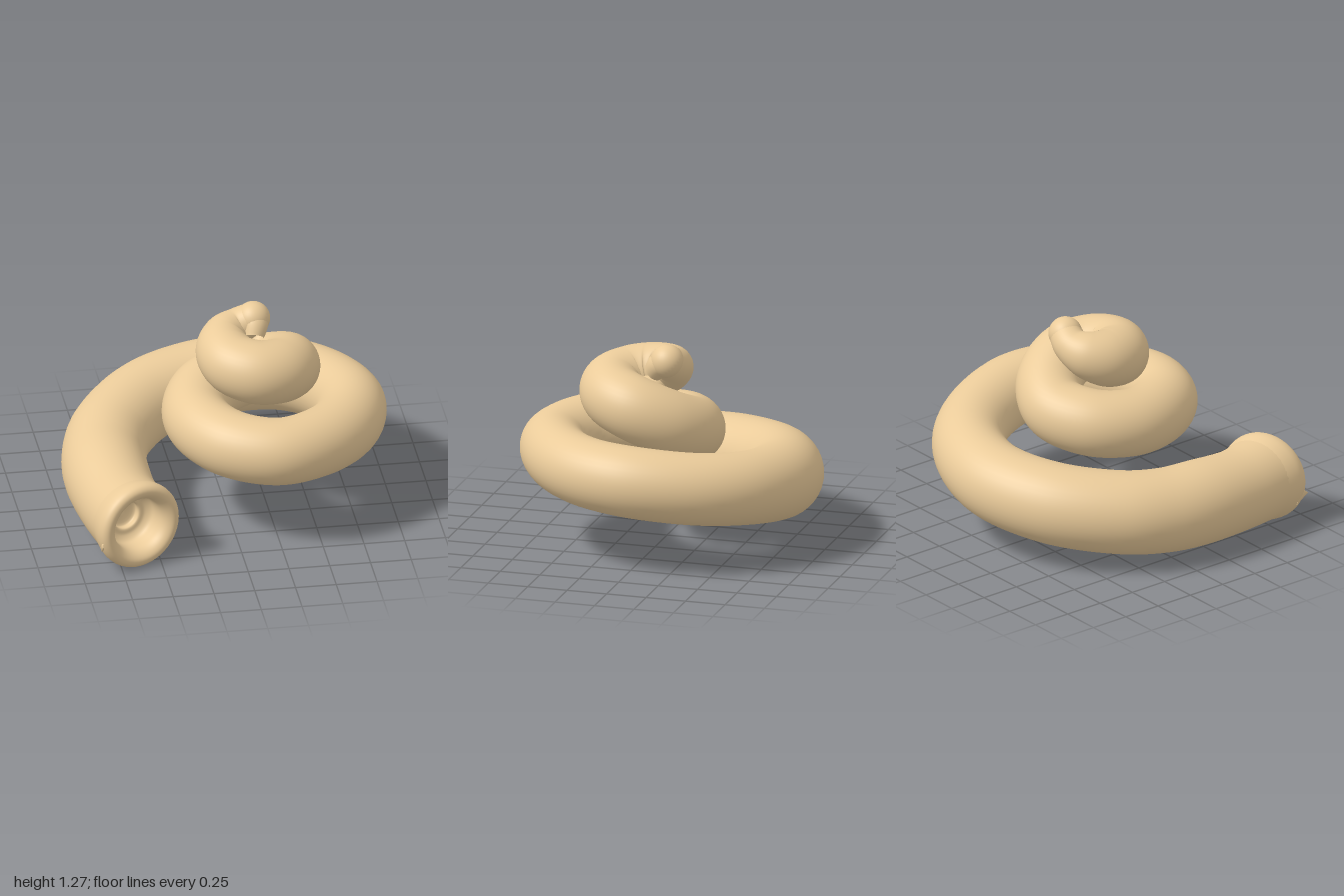
import * as THREE from 'three';

// Centreline of the coil, from the mouth up to the tip: [x, y, z, radius]
const PATH = [
  [-0.65, 0.28, 0.79, 0.26], [-0.71, 0.285, 0.55, 0.25], [-0.74, 0.305, 0.22, 0.26],
  [-0.72, 0.317, -0.03, 0.258], [-0.63, 0.345, -0.29, 0.255], [-0.35, 0.395, -0.60, 0.25],
  [0.05, 0.44, -0.73, 0.24], [0.42, 0.488, -0.63, 0.225], [0.66, 0.528, -0.38, 0.22],
  [0.78, 0.575, 0, 0.218], [0.71, 0.592, 0.30, 0.212], [0.52, 0.605, 0.52, 0.208],
  [0.25, 0.615, 0.63, 0.205], [0.0, 0.63, 0.54, 0.205], [-0.15, 0.645, 0.34, 0.205],
  [-0.185, 0.66, 0.13, 0.205], [-0.09, 0.69, -0.09, 0.205], [0.13, 0.735, -0.19, 0.202],
  [0.31, 0.82, -0.10, 0.202], [0.385, 0.915, 0.09, 0.20], [0.31, 0.96, 0.24, 0.197],
  [0.17, 0.985, 0.285, 0.195], [0.04, 1.01, 0.21, 0.187], [0.0, 1.042, 0.08, 0.175],
  [0.04, 1.085, -0.03, 0.147], [0.12, 1.125, -0.075, 0.114], [0.20, 1.17, -0.065, 0.10],
];

// Round tube whose radius follows the path
function taperedTube(path, steps, sides) {
  const curve = new THREE.CatmullRomCurve3(path.map(([x, y, z]) => new THREE.Vector3(x, y, z)));
  const radii = new THREE.CatmullRomCurve3(path.map((p, i) => new THREE.Vector3(p[3], i, 0)));
  const up = new THREE.Vector3(0, 1, 0);
  const position = [], index = [];
  for (let i = 0; i <= steps; i++) {
    const u = i / steps;
    const c = curve.getPoint(u), t = curve.getTangent(u), r = radii.getPoint(u).x;
    const n = new THREE.Vector3().crossVectors(up, t).normalize();
    const b = new THREE.Vector3().crossVectors(t, n);
    for (let j = 0; j < sides; j++) {
      const a = (j / sides) * Math.PI * 2;
      const p = c.clone().addScaledVector(n, r * Math.cos(a)).addScaledVector(b, r * Math.sin(a));
      position.push(p.x, p.y, p.z);
      if (i < steps) {
        const k = (j + 1) % sides, q = i * sides, s = q + sides;
        index.push(q + j, q + k, s + j, q + k, s + k, s + j);
      }
    }
  }
  const geometry = new THREE.BufferGeometry();
  geometry.setAttribute('position', new THREE.Float32BufferAttribute(position, 3));
  geometry.setIndex(index);
  geometry.computeVertexNormals();
  return geometry;
}

export function createModel() {
  const group = new THREE.Group();
  const material = new THREE.MeshStandardMaterial({ color: 0xeacb9a, side: THREE.DoubleSide });
  const add = (name, geometry, x = 0, y = 0, z = 0) => {
    const mesh = new THREE.Mesh(geometry, material);
    mesh.name = name;
    mesh.position.set(x, y, z);
    group.add(mesh);
    return mesh;
  };

  // Spiral body
  add('coil', taperedTube(PATH, 320, 40));

  // Small plug closing the middle of the top winding
  add('core', new THREE.SphereGeometry(1, 32, 20), 0.18, 0.98, 0.07).scale.set(0.11, 0.08, 0.11);

  // Rounded knob closing the thin end, curling down towards the middle
  add('tip', new THREE.SphereGeometry(0.103, 32, 20), 0.2, 1.174, -0.063);
  add('tipCurl', taperedTube([[0.2, 1.17, -0.065, 0.095], [0.205, 1.15, -0.02, 0.08],
    [0.19, 1.09, 0.03, 0.06]], 12, 24));

  // Open mouth: thick rolled rim and stepped hollow, facing forward and slightly inward
  const rim = [[0.245, -0.13], [0.264, -0.07], [0.275, -0.02], [0.27, 0.022], [0.248, 0.045], [0.218, 0.046],
    [0.19, 0.025], [0.172, -0.01], [0.166, -0.06], [0.16, -0.11], [0.13, -0.14], [0.092, -0.15],
    [0.085, -0.19], [0, -0.2]];
  const profile = new THREE.SplineCurve(rim.map(([r, h]) => new THREE.Vector2(r, h))).getPoints(65)
    .map((p) => new THREE.Vector2(Math.max(p.x, 0), p.y));
  const facing = new THREE.Vector3(0.39, 0, 0.92).normalize();
  const turn = new THREE.Quaternion().setFromUnitVectors(new THREE.Vector3(0, 1, 0), facing);
  add('mouth', new THREE.LatheGeometry(profile, 48), -0.64, 0.28, 0.81).quaternion.copy(turn);

  // Small chipped flake on the outer edge of the rim
  const flake = add('rimFlake', new THREE.ConeGeometry(0.05, 0.08, 12), -0.877, 0.21, 0.915);
  flake.rotation.set(Math.PI / 2, 0, 0.15);
  flake.scale.set(0.4, 1, 1.3);

  return group;
}
